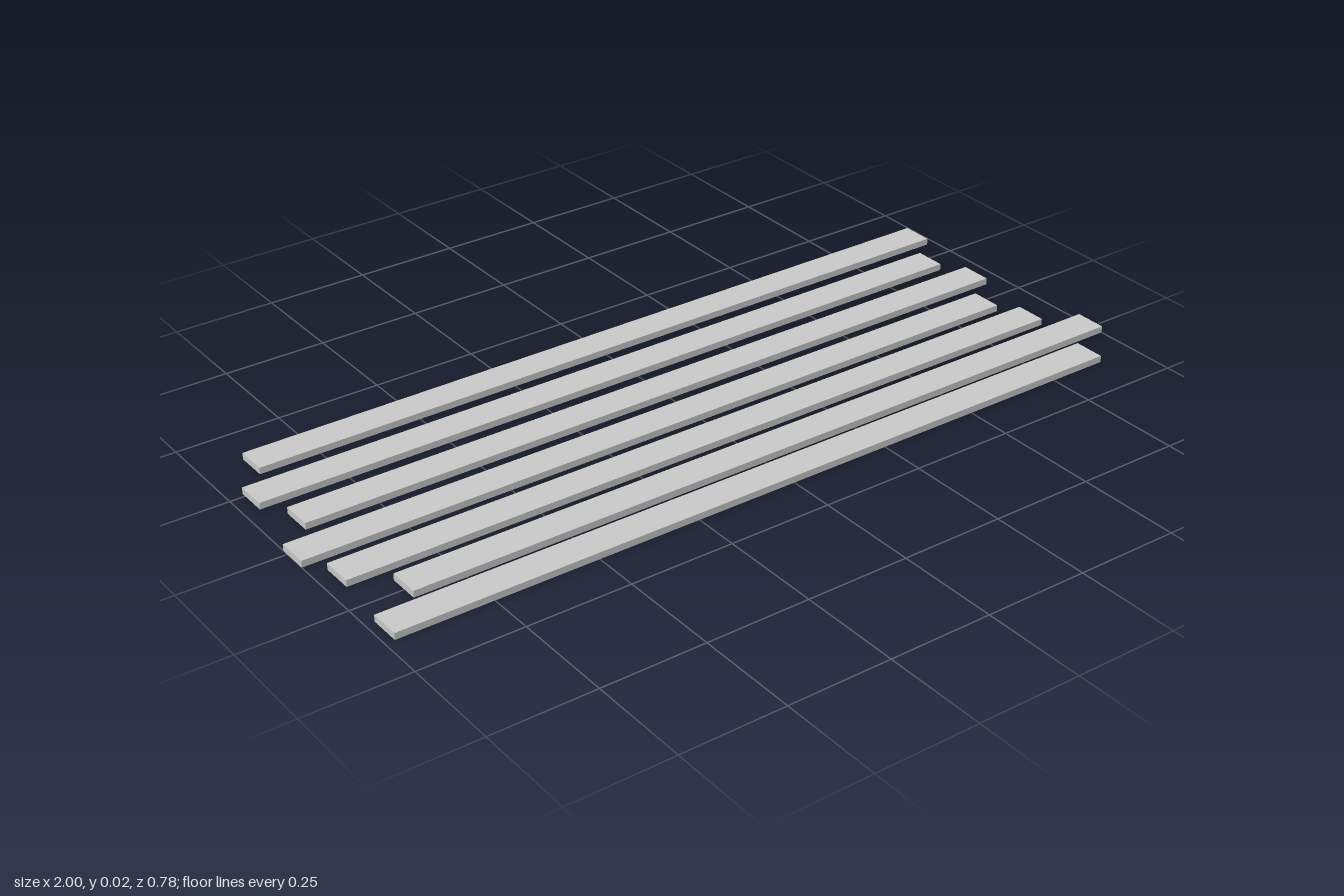
import * as THREE from 'three';

// Shared plank size
const LENGTH = 1.874, HEIGHT = 0.016, WIDTH = 0.077;

// Centre of each plank [x, z], front to back
const PLANKS = [
  [-0.041, 0.35], [0.063, 0.247], [-0.025, 0.136], [-0.063, 0.022],
  [0.012, -0.098], [-0.027, -0.223], [0.04, -0.349],
];

export function createModel() {
  const group = new THREE.Group();
  group.name = 'looseFloorPlanks';
  const material = new THREE.MeshStandardMaterial({ color: 0xcccccc });
  const geometry = new THREE.BoxGeometry(LENGTH, HEIGHT, WIDTH);

  // Staggered row of identical planks lying flat
  PLANKS.forEach(([x, z], i) => {
    const plank = new THREE.Mesh(geometry, material);
    plank.name = `plank${i + 1}`;
    plank.position.set(x, HEIGHT / 2, z);
    group.add(plank);
  });
  return group;
}
